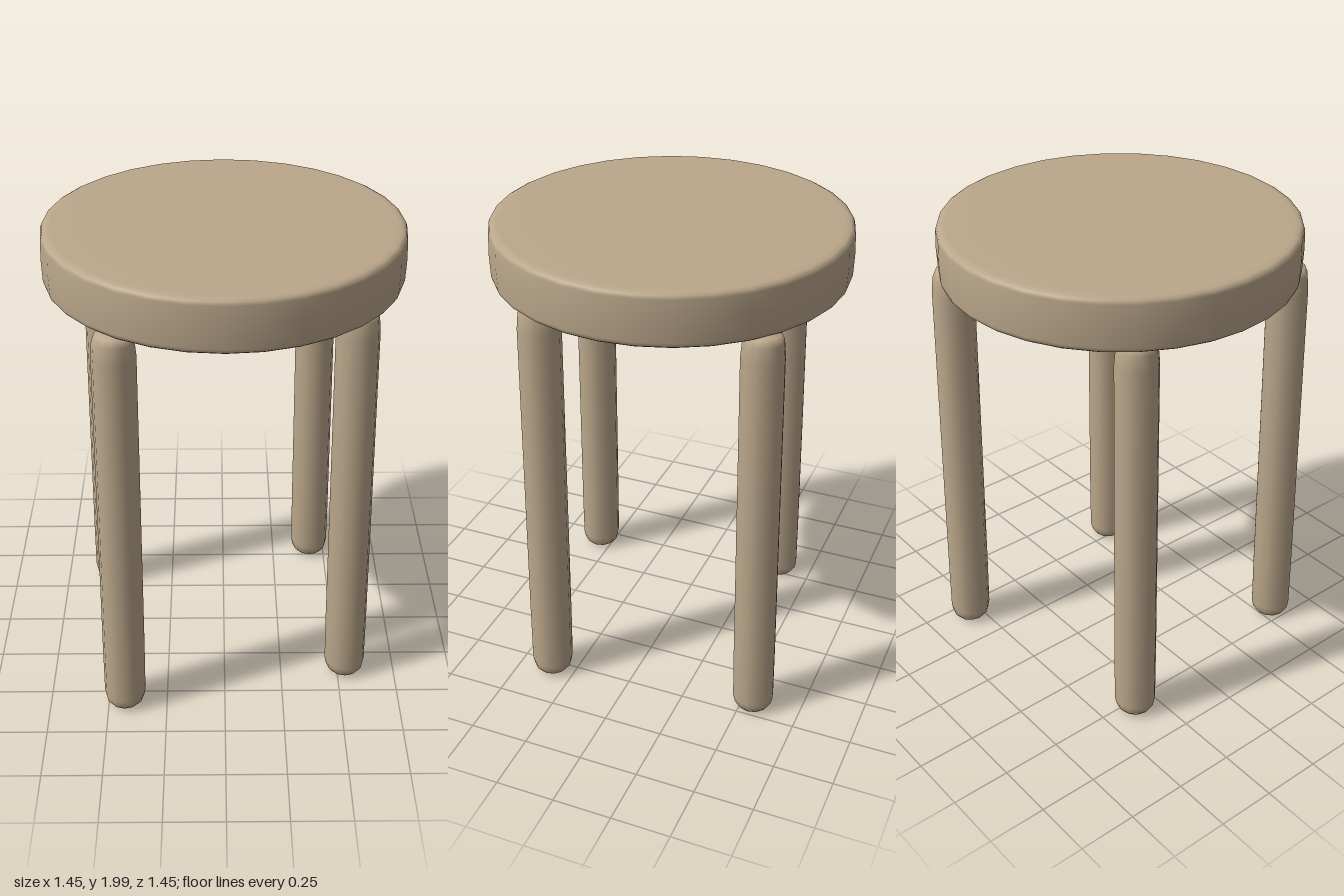
import * as THREE from 'three';

const wood = new THREE.MeshStandardMaterial({ color: 0xbba78b });
wood.name = 'paleWood';

// Lathe from [radius, height] pairs listed bottom to top
const lathe = (pairs, sides) =>
  new THREE.LatheGeometry(pairs.map(([r, y]) => new THREE.Vector2(r, y)), sides);

export function createModel() {
  const stool = new THREE.Group();
  stool.name = 'stool';

  // Round seat with softly worn rims
  const seat = new THREE.Mesh(lathe([
    [0, 1.775], [0.69, 1.775], [0.707, 1.777], [0.716, 1.784], [0.721, 1.8],
    [0.724, 1.89], [0.721, 1.97], [0.716, 1.984], [0.703, 1.991], [0.68, 1.994],
    [0.4, 1.996], [0, 1.993],
  ], 32), wood);
  seat.name = 'seat';
  stool.add(seat);

  // Rounded legs, leaning slightly outward towards the floor
  const legProfile = [
    [0, 0.006], [0.045, 0.009], [0.066, 0.018], [0.08, 0.036], [0.087, 0.07],
    [0.088, 0.3], [0.087, 1], [0.086, 1.68], [0.08, 1.745], [0.068, 1.775], [0, 1.785],
  ];
  const feet = {
    frontRightLeg: [-0.43, 0.557],
    frontLeftLeg: [0.532, 0.353],
    backLeftLeg: [0.43, -0.55],
    backRightLeg: [-0.532, -0.35],
  };
  for (const [name, [x, z]] of Object.entries(feet)) {
    const geometry = lathe(legProfile, 12);
    const lean = -0.04 / 1.78;
    // Shear so the ends stay level while the top moves inward
    geometry.applyMatrix4(new THREE.Matrix4().set(
      1, x * lean, 0, x,
      0, 1, 0, 0,
      0, z * lean, 1, z,
      0, 0, 0, 1,
    ));
    const leg = new THREE.Mesh(geometry, wood);
    leg.name = name;
    stool.add(leg);
  }
  return stool;
}
